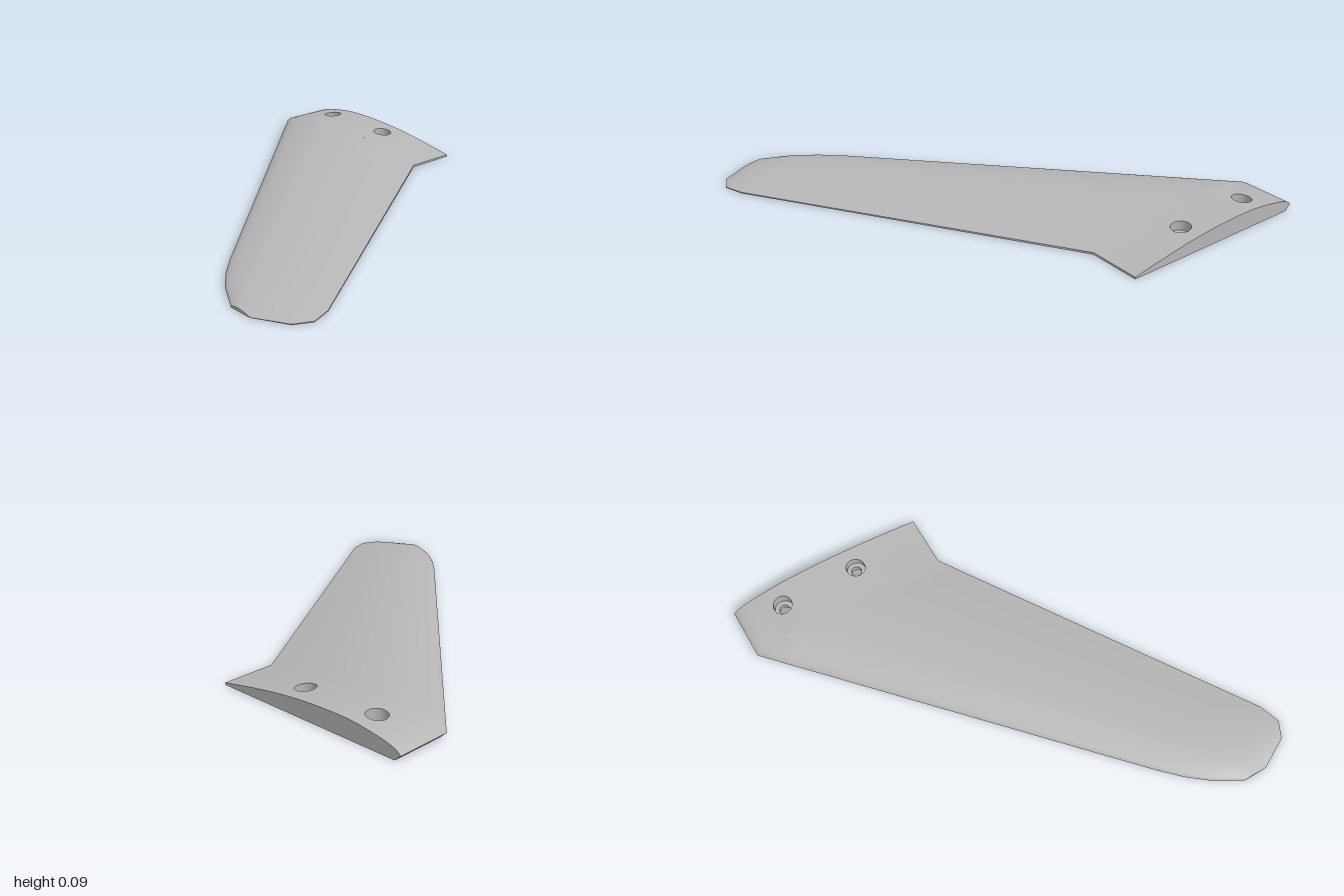
import * as THREE from 'three';
import { mergeGeometries, toCreasedNormals } from 'three/addons/utils/BufferGeometryUtils.js';

// Span stations: z, leading edge x, trailing edge x, thickness scale
const STATIONS = [
  [-1, -1, 0.015, 1], [-0.74, -1, 0.015, 1], [0.74, 0.35, 0.965, 0.53],
  [0.84, 0.45, 0.998, 0.46], [0.92, 0.55, 0.96, 0.37], [1, 0.69, 0.81, 0.16],
];
// Upper airfoil curve: chord fraction, height at the root
const AIRFOIL = new THREE.SplineCurve([
  [0, 0.028], [0.02, 0.044], [0.05, 0.056], [0.1, 0.068], [0.2, 0.083], [0.3, 0.09],
  [0.45, 0.087], [0.62, 0.073], [0.8, 0.047], [1, 0.01],
].map(p => new THREE.Vector2(...p))).getPoints(90);
const NOSE_Y = 0.028, NOSE_T = 0.03;
const ROOT_Z = -0.74;
const HOLES = [-0.775, -0.37], HOLE_Z = -0.89;
const BORE_R = 0.047, HOLE_R = 0.025, FLOOR_Y = 0.03, PATCH = 0.08;

const lerp = THREE.MathUtils.lerp;

function station(z) {
  let i = 0;
  while (i < STATIONS.length - 2 && z > STATIONS[i + 1][0]) i++;
  const a = STATIONS[i], b = STATIONS[i + 1], k = (z - a[0]) / (b[0] - a[0]);
  return { xl: lerp(a[1], b[1], k), xr: lerp(a[2], b[2], k), s: lerp(a[3], b[3], k) };
}

function airfoil(t) {
  let i = 0;
  while (i < AIRFOIL.length - 2 && t > AIRFOIL[i + 1].x) i++;
  const a = AIRFOIL[i], b = AIRFOIL[i + 1];
  return lerp(a.y, b.y, (t - a.x) / (b.x - a.x));
}

const upper = (t, z) => {
  const { xl, xr, s } = station(z);
  return [lerp(xl, xr, t), airfoil(t) * s, z];
};
const lower = (t, z) => {
  const { xl, xr, s } = station(z);
  return [lerp(xl, xr, t), NOSE_Y * s * Math.max(0, 1 - t / NOSE_T), z];
};
const mix = (a, b, k) => a.map((v, i) => lerp(v, b[i], k));

// Sheet through fn(u, v) for lists of u and v; it faces dv x du
function sheet(us, vs, fn) {
  const pos = [];
  for (let i = 0; i < us.length - 1; i++) {
    for (let j = 0; j < vs.length - 1; j++) {
      const a = fn(us[i], vs[j]), b = fn(us[i], vs[j + 1]);
      const c = fn(us[i + 1], vs[j + 1]), d = fn(us[i + 1], vs[j]);
      pos.push(...a, ...b, ...c, ...a, ...c, ...d);
    }
  }
  const g = new THREE.BufferGeometry();
  g.setAttribute('position', new THREE.Float32BufferAttribute(pos, 3));
  return g;
}
const range = (a, b, n) => Array.from({ length: n + 1 }, (_, i) => lerp(a, b, i / n));
const finish = parts => toCreasedNormals(mergeGeometries(parts), 0.6);

// Angles around a hole, including the corners of its surrounding patch
const Z0 = -1 - HOLE_Z, Z1 = ROOT_Z - HOLE_Z;
const corners = [[PATCH, Z0], [PATCH, Z1], [-PATCH, Z0], [-PATCH, Z1]]
  .map(([x, z]) => (Math.atan2(z, x) + 2 * Math.PI) % (2 * Math.PI));
const ANGLES = [...range(0, 2 * Math.PI, 48), ...corners].sort((a, b) => a - b);

function circlePoint(cx, r, a) {
  return [cx + r * Math.cos(a), HOLE_Z + r * Math.sin(a)];
}
function rootTop(x, z) {
  return [x, airfoil(THREE.MathUtils.clamp((x + 1) / 1.015, 0, 1)), z];
}

export function createModel() {
  const group = new THREE.Group();
  const grey = new THREE.MeshStandardMaterial({ color: 0xb6b6b6 });
  grey.name = 'plain grey';
  const add = (name, parts) => {
    const mesh = new THREE.Mesh(finish(parts), grey);
    mesh.name = name;
    group.add(mesh);
  };

  const chord = range(0, 1, 48).map(u => u ** 1.7);
  const span = [-1, ...range(ROOT_Z, 0.74, 16), 0.79, 0.84, 0.88, 0.92, 0.96, 1];

  // Swept blade top beyond the root, then the root top around the holes
  const top = [sheet(chord, span.slice(1), upper)];
  const rootT = x => (x + 1) / 1.015;
  const edges = [-1, ...HOLES.flatMap(x => [x - PATCH, x + PATCH]), 0.015];
  for (let i = 0; i < edges.length; i += 2) {
    const a = rootT(edges[i]), b = rootT(edges[i + 1]);
    const ts = [a, ...chord.filter(t => t > a + 1e-4 && t < b - 1e-4), b];
    top.push(sheet(ts, [-1, ROOT_Z], upper));
  }
  for (const cx of HOLES) {
    top.push(sheet(ANGLES, range(0, 1, 4), (a, v) => {
      const c = Math.cos(a), s = Math.sin(a);
      const d = Math.min(PATCH / Math.max(Math.abs(c), 1e-6),
        (s > 0 ? Z1 : -Z0) / Math.max(Math.abs(s), 1e-6));
      const [x, z] = circlePoint(cx, lerp(d, BORE_R, v), a);
      return rootTop(x, z);
    }));
  }
  add('finUpperSurface', top);

  // Thin trailing edge, undercut leading edge, root face and tip face
  add('finEdges', [
    sheet(span, [0, 1], (z, v) => mix(lower(1, z), upper(1, z), v)),
    sheet(span, [0, 1], (z, v) => mix(upper(0, z), lower(NOSE_T, z), v)),
    sheet([...chord, NOSE_T].sort((a, b) => a - b), [0, 1],
      (t, v) => mix(lower(t, -1), upper(t, -1), v)),
    sheet([...chord, NOSE_T].sort((a, b) => a - b), [0, 1],
      (t, v) => mix(upper(t, 1), lower(t, 1), v)),
  ]);

  // Flat underside with the two through holes
  const outline = new THREE.Shape([
    ...STATIONS.map(([z]) => lower(NOSE_T, z)),
    ...STATIONS.map(([z]) => lower(1, z)).reverse(),
  ].map(p => new THREE.Vector2(p[0], p[2])));
  for (const cx of HOLES) {
    outline.holes.push(new THREE.Path().absarc(cx, HOLE_Z, HOLE_R, 0, Math.PI * 2, true));
  }
  const base = new THREE.ShapeGeometry(outline, 24).rotateX(Math.PI / 2).toNonIndexed();
  base.deleteAttribute('uv');
  base.deleteAttribute('normal');
  add('finUnderside', [base]);

  // Stepped screw holes: wide bore, seat ring, narrow through hole
  add('screwHoles', HOLES.map(cx => sheet(ANGLES, [0, 1, 2, 3], (a, v) => {
    const [x, z] = circlePoint(cx, v < 2 ? BORE_R : HOLE_R, a);
    const y = v === 0 ? rootTop(x, z)[1] : v === 3 ? 0 : FLOOR_Y;
    return [x, y, z];
  })));

  return group;
}
